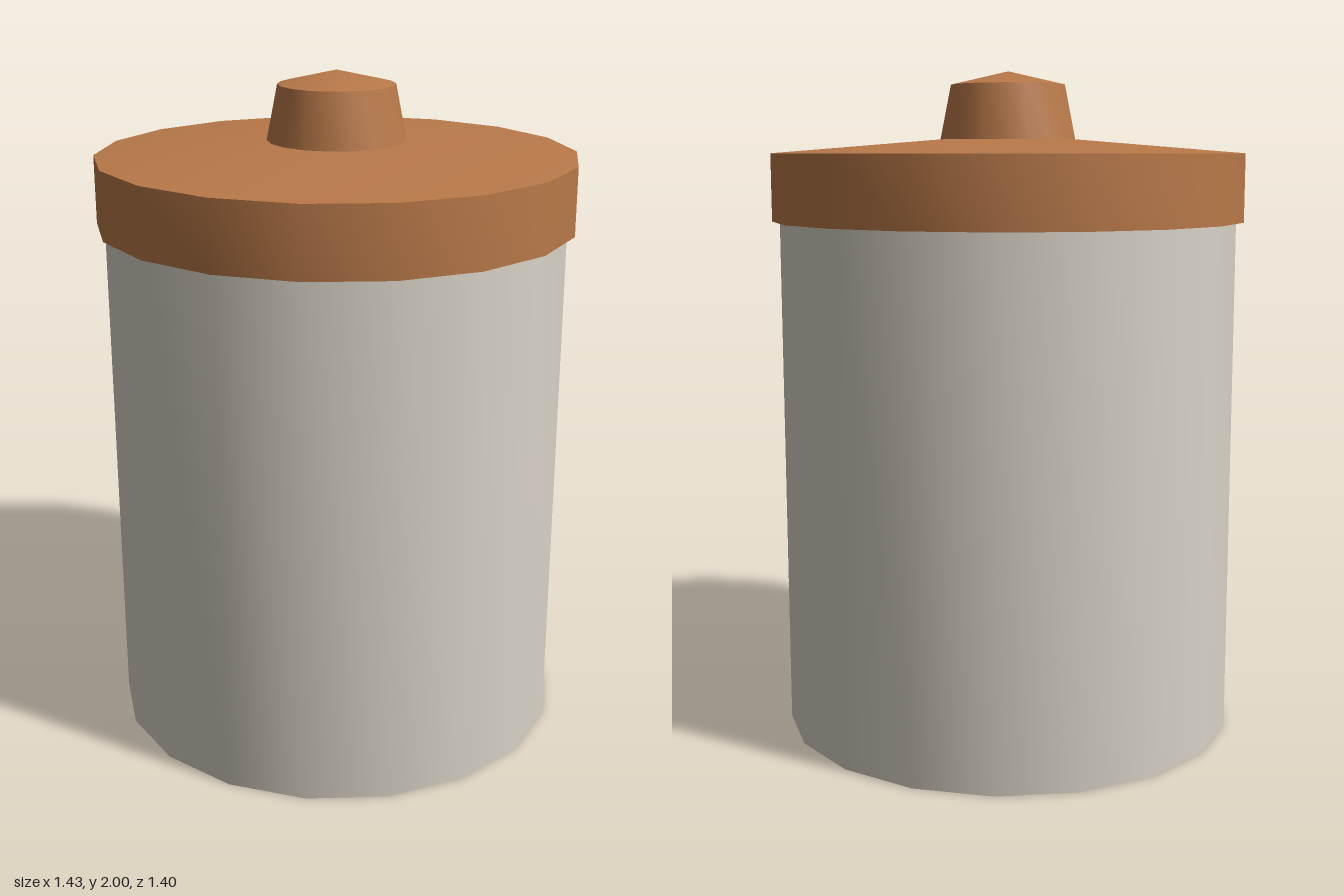
import * as THREE from 'three';
import { toCreasedNormals } from 'three/addons/utils/BufferGeometryUtils.js';

const SIDES = 18;

// Turned part from a [radius, height] profile, bottom to top, with a corner on the x axis
function turned(name, profile, material) {
  const points = profile.map(([r, y]) => new THREE.Vector2(r, y));
  const lathe = new THREE.LatheGeometry(points, SIDES, Math.PI / SIDES);
  const mesh = new THREE.Mesh(toCreasedNormals(lathe, Math.PI / 6), material);
  mesh.name = name;
  return mesh;
}

export function createModel() {
  const stoneware = new THREE.MeshStandardMaterial({ name: 'stoneware', color: 0xd9d3c6 });
  const wood = new THREE.MeshStandardMaterial({ name: 'wood', color: 0xb97949 });

  const group = new THREE.Group();
  group.name = 'lidded canister';

  // Straight-sided jar, closed at both ends
  group.add(turned('jar', [[0, 0], [0.69, 0], [0.69, 1.57], [0, 1.57]], stoneware));

  // Overhanging lid with a shallow conical top
  group.add(turned('lid', [[0, 1.555], [0.713, 1.555], [0.713, 1.757], [0, 1.815]], wood));

  // Tapered knob with a low pointed top
  group.add(turned('knob', [[0, 1.785], [0.208, 1.785], [0.173, 1.96], [0, 2]], wood));

  return group;
}
